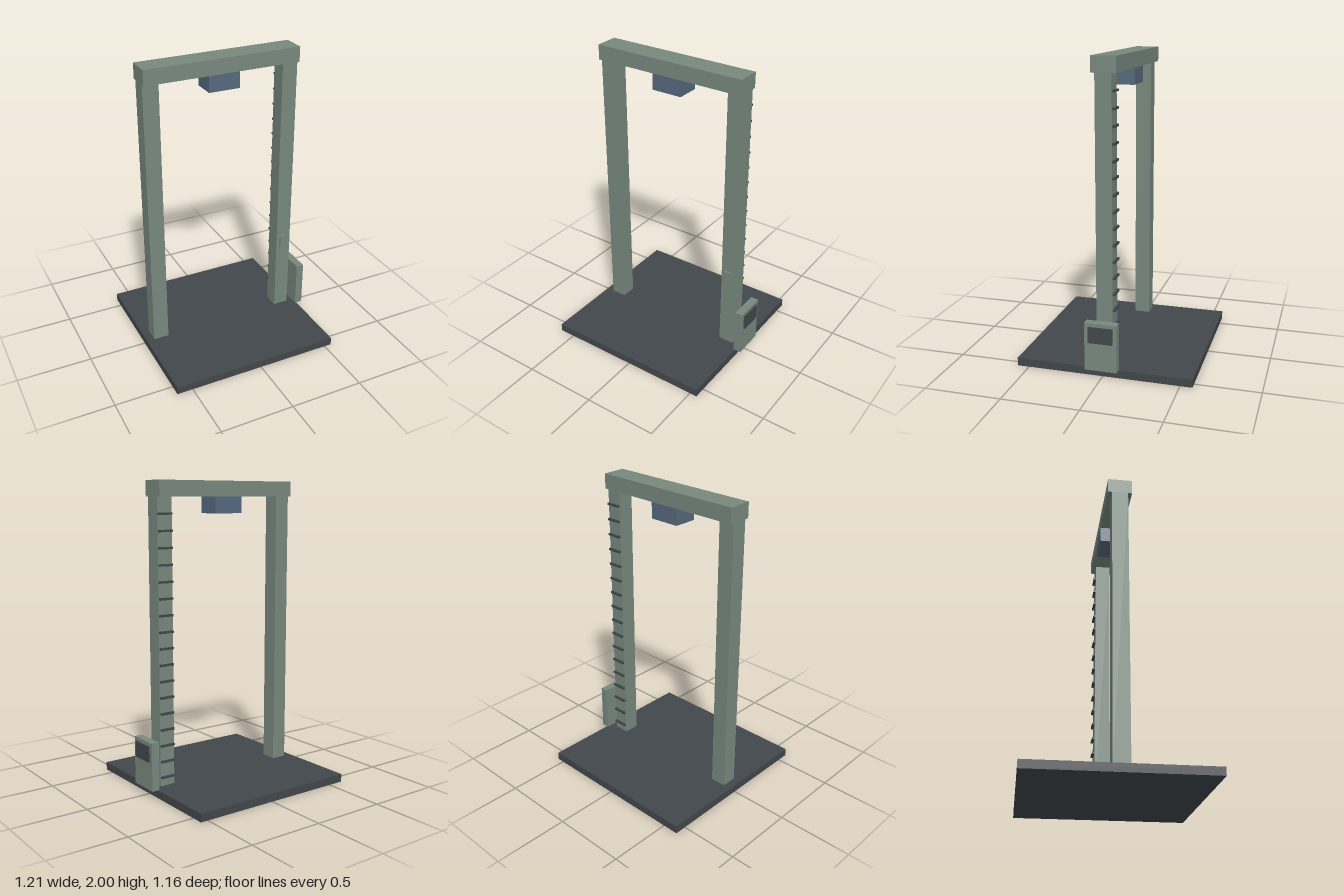
import * as THREE from 'three';

export function createModel() {
  const model = new THREE.Group();
  model.name = 'gantry';

  const paint = (name, color) => {
    const m = new THREE.MeshStandardMaterial({ color });
    m.name = name;
    return m;
  };
  const green = paint('greenSteel', 0x77887d);
  const dark = paint('darkGrey', 0x42474b);
  const blue = paint('slateBlue', 0x56687d);

  // Box given by its lower and upper bounds on each axis
  const block = (name, material, [x0, x1], [y0, y1], [z0, z1], parent = model) => {
    const mesh = new THREE.Mesh(new THREE.BoxGeometry(x1 - x0, y1 - y0, z1 - z0), material);
    mesh.position.set((x0 + x1) / 2, (y0 + y1) / 2, (z0 + z1) / 2);
    mesh.name = name;
    parent.add(mesh);
    return mesh;
  };

  const floor = 0.053;
  const beamBottom = 1.9;

  // Floor slab and portal frame
  block('basePlate', dark, [-0.608, 0.55], [0, floor], [-0.579, 0.579]);
  block('rightPost', green, [-0.555, -0.45], [floor, beamBottom], [-0.053, 0.053]);
  block('leftPost', green, [0.393, 0.498], [floor, beamBottom], [-0.053, 0.053]);
  block('crossBeam', green, [-0.555, 0.498], [beamBottom, 2], [-0.079, 0.079]);

  // Unit hanging under the beam
  block('hangingUnit', blue, [-0.134, 0.076], [1.793, beamBottom], [-0.079, 0.079]);

  // Small hatch on the front of the left post
  block('postHatch', green, [0.419, 0.472], [0.527, 0.633], [0.053, 0.063]);

  // Control cabinet with its screen, beside the left post
  block('controlCabinet', green, [0.54, 0.593], [floor, 0.369], [-0.105, 0.105]);
  block('cabinetScreen', dark, [0.593, 0.603], [0.24, 0.345], [-0.079, 0.079]);

  // Ladder rungs up the back of the left post
  const ladder = new THREE.Group();
  ladder.name = 'ladder';
  model.add(ladder);
  for (let i = 0; i < 17; i++) {
    const y = 0.111 + i * 0.1053;
    block('rung', dark, [0.396, 0.495], [y - 0.007, y + 0.007], [-0.068, -0.053], ladder);
  }

  return model;
}
